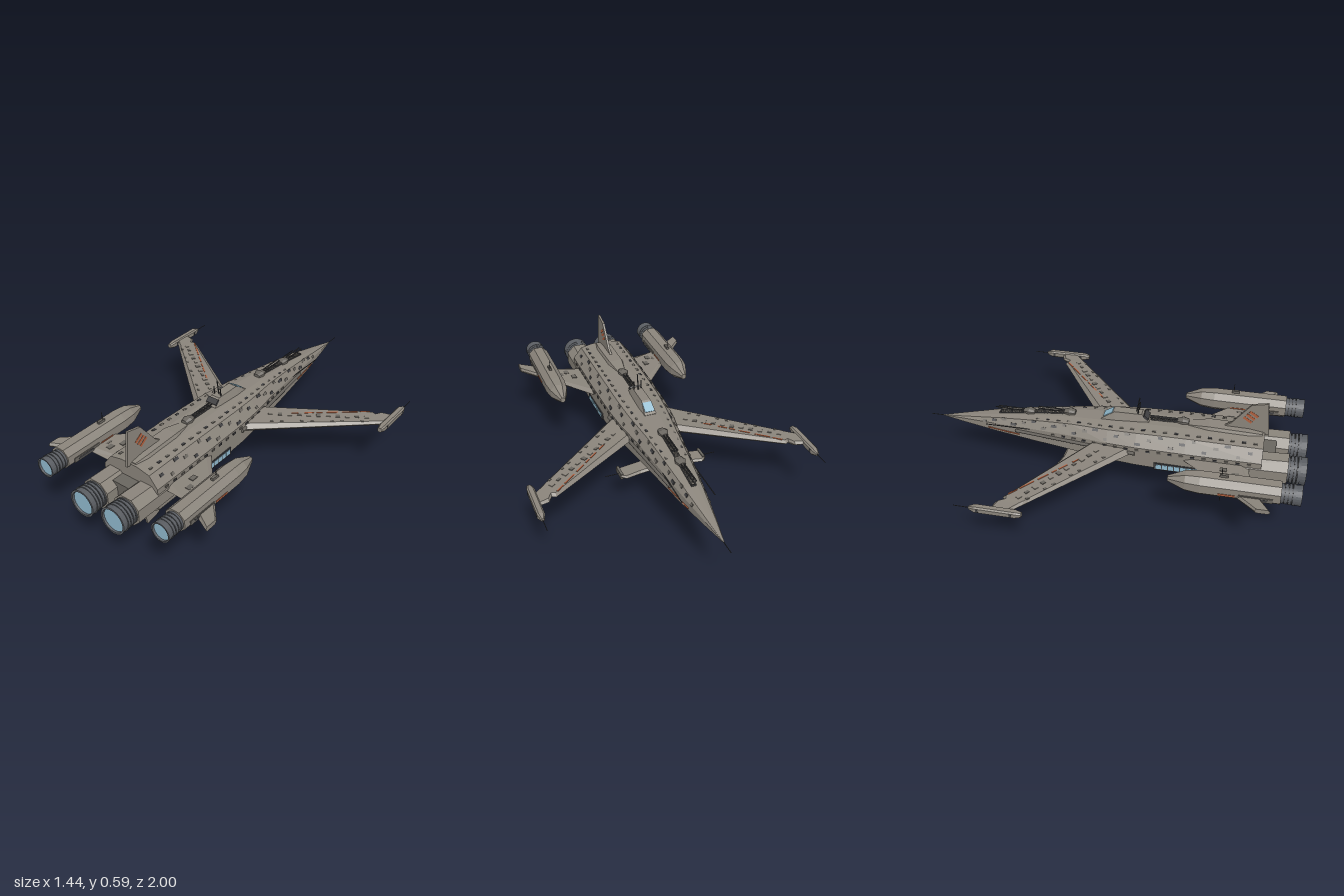
import * as THREE from 'three';

const mat = (name, color) => Object.assign(new THREE.MeshStandardMaterial({ color }), { name });
const V = (x, y, z) => new THREE.Vector3(x, y, z);

// Flat-faced skin through closed loops; loops run counter-clockwise about the stacking axis
function loft(loops) {
  const pos = [], n = loops[0].length;
  const tri = (...p) => p.forEach(v => pos.push(v.x, v.y, v.z));
  for (let i = 0; i < loops.length - 1; i++) for (let j = 0; j < n; j++) {
    const k = (j + 1) % n, a = loops[i][j], b = loops[i][k], c = loops[i + 1][k], d = loops[i + 1][j];
    tri(a, b, c); tri(a, c, d);
  }
  const first = loops[0], last = loops[loops.length - 1];
  for (let j = 1; j < n - 1; j++) { tri(first[0], first[j + 1], first[j]); tri(last[0], last[j], last[j + 1]); }
  const g = new THREE.BufferGeometry();
  g.setAttribute('position', new THREE.Float32BufferAttribute(pos, 3));
  g.computeVertexNormals();
  return g;
}

// Reflection in x with the triangle order put right
function mirror(geo) {
  const g = geo.index ? geo.toNonIndexed() : geo.clone();
  g.applyMatrix4(new THREE.Matrix4().makeScale(-1, 1, 1));
  for (const a of Object.values(g.attributes)) {
    const s = a.itemSize, arr = a.array;
    for (let i = 0; i < a.count; i += 3) for (let k = 0; k < s; k++) {
      const p = i * s + k, q = (i + 2) * s + k, t = arr[p];
      arr[p] = arr[q]; arr[q] = t;
    }
  }
  return g;
}

const box = (w, h, d, x, y, z, rx = 0, ry = 0, rz = 0) =>
  new THREE.BoxGeometry(w, h, d).applyMatrix4(new THREE.Matrix4().makeRotationFromEuler(new THREE.Euler(rx, ry, rz))).translate(x, y, z);

const cyl = (r0, r1, len, x, y, z, n = 24) => // r1 is the +z end
  new THREE.CylinderGeometry(r1, r0, len, n).rotateX(Math.PI / 2).translate(x, y, z);

function rod(a, b, r) {
  const d = b.clone().sub(a), g = new THREE.CylinderGeometry(r, r, d.length(), 6);
  g.applyQuaternion(new THREE.Quaternion().setFromUnitVectors(V(0, 1, 0), d.normalize()));
  const m = a.clone().add(b).multiplyScalar(0.5);
  return g.translate(m.x, m.y, m.z);
}

// Eight-sided section with cut corners
const octagon = (x, y, z, w, h, c = 0.45) =>
  [[1, -c], [1, c], [c, 1], [-c, 1], [-1, c], [-1, -c], [-c, -1], [c, -1]].map(([u, v]) => V(x + u * w, y + v * h, z));

// Upright plate drawn in (z, y)
const fin = (pts, t, x = 0) => new THREE.ExtrudeGeometry(new THREE.Shape(pts.map(p => new THREE.Vector2(...p))),
  { depth: t, bevelEnabled: false }).rotateY(-Math.PI / 2).translate(x + t / 2, 0, 0);

// Wing from stations [x, leading z, trailing z, y, half thickness]
const wing = st => loft(st.map(([x, l, r, y, t]) => {
  const c = (r - l) * 0.12;
  return [V(x, y + t, l + c), V(x, y + t, r - c), V(x, y, r), V(x, y - t, r - c), V(x, y - t, l + c), V(x, y, l)];
}));

// Hull stations: z, half width, bottom, lower edge, upper edge, top
const HULL = [
  [-0.93, 0.003, 0.278, 0.279, 0.281, 0.282], [-0.8, 0.027, 0.262, 0.272, 0.295, 0.307],
  [-0.6, 0.06, 0.237, 0.262, 0.312, 0.347], [-0.4, 0.086, 0.212, 0.252, 0.325, 0.376],
  [-0.2, 0.112, 0.19, 0.245, 0.335, 0.398], [0, 0.145, 0.168, 0.24, 0.342, 0.41],
  [0.15, 0.158, 0.158, 0.237, 0.345, 0.418], [0.4, 0.164, 0.15, 0.232, 0.347, 0.424], [0.78, 0.165, 0.15, 0.23, 0.347, 0.42]];
function hullAt(z) {
  let i = 0;
  while (i < HULL.length - 2 && z > HULL[i + 1][0]) i++;
  const a = HULL[i], b = HULL[i + 1], f = (z - a[0]) / (b[0] - a[0]);
  const [, w, bot, lo, hi, top] = a.map((v, k) => v + (b[k] - v) * f);
  return { w, bot, lo, hi, top, sh: hi + 0.8 * (top - hi) };
}

export function createModel() {
  const model = new THREE.Group();
  const hull = mat('hull grey', 0x8a847b), panel = mat('panel grey', 0x69655f), dark = mat('dark metal', 0x3f3f41);
  const nozzle = mat('nozzle steel', 0x5a5d62), glow = mat('pale blue', 0x8fb8cc), orange = mat('faded orange', 0xb0603f);
  const add = (name, geo, m) => {
    const mesh = new THREE.Mesh(geo, m);
    mesh.name = name;
    model.add(mesh);
  };
  const pair = (name, geo, m) => { add(name + 'Left', geo, m); add(name + 'Right', mirror(geo), m); };

  // Fuselage and nose probe
  add('fuselage', loft(HULL.map(([z]) => {
    const { w, bot, lo, hi, top, sh } = hullAt(z);
    const half = [[0.18 * w, bot], [w, lo], [w, hi], [0.72 * w, sh], [0.3 * w, top]];
    return [...half.map(([x, y]) => V(x, y, z)), ...half.reverse().map(([x, y]) => V(-x, y, z))];
  })), hull);
  add('noseProbe', rod(V(0, 0.28, -1), V(0, 0.28, -0.9), 0.002), dark);

  // Raised spine and cockpit
  const ridge = st => loft(st.map(([z, w, y0, y1, k]) => [V(w, y0, z), V(w * k, y1, z), V(-w * k, y1, z), V(-w, y0, z)]));
  add('spine', ridge([[0.4, 0.03, 0.4, 0.426, 0.7], [0.5, 0.052, 0.4, 0.44, 0.7], [0.7, 0.055, 0.4, 0.436, 0.7], [0.77, 0.04, 0.4, 0.425, 0.7]]), hull);
  add('cockpit', ridge([[-0.05, 0.036, 0.39, 0.409, 0.9], [0.02, 0.044, 0.39, 0.455, 0.55], [0.16, 0.044, 0.39, 0.457, 0.55], [0.2, 0.038, 0.39, 0.42, 0.8]]), hull);
  add('cockpitRear', box(0.062, 0.012, 0.03, 0, 0.442, 0.182, 0.72), dark);
  add('windshield', box(0.05, 0.006, 0.055, 0, 0.433, -0.014, -0.581), glow);
  pair('mast', rod(V(0.02, 0.45, 0.14), V(0.02, 0.5, 0.145), 0.003), dark);
  add('tallMast', rod(V(0, 0.45, 0.13), V(0, 0.54, 0.145), 0.003), dark);

  // Ladder-like conduits on the back
  for (const [z0, z1] of [[-0.6, -0.2], [0.21, 0.39]]) {
    const step = 0.02, n = Math.round((z1 - z0) / step);
    const at = (x, z) => V(x, hullAt(z).top + 0.006, z);
    for (let i = 0; i < n; i++) {
      const z = z0 + i * step;
      pair('conduit', rod(at(0.011, z), at(0.011, z + step), 0.004), dark);
      add('conduitRung', box(0.026, 0.008, 0.007, 0, at(0, z).y, z), i % 3 ? panel : dark);
    }
  }

  // Twin-barrel turrets
  for (const z of [-0.44, -0.22, 0.37]) {
    const y = hullAt(z).top;
    add('turret', loft([octagon(0, y + 0.008, z - 0.028, 0.016, 0.01), octagon(0, y + 0.01, z, 0.026, 0.016), octagon(0, y + 0.008, z + 0.03, 0.018, 0.01)]), panel);
    pair('turretBarrel', rod(V(0.008, y + 0.012, z), V(0.008, y + 0.012, z - 0.17), 0.0035), dark);
  }

  // Tail and belly fins
  add('tailFin', fin([[0.8, 0.41], [0.78, 0.595], [0.7, 0.578], [0.61, 0.46], [0.56, 0.425]], 0.012), hull);
  add('bellyFin', fin([[0.46, 0.155], [0.625, 0.02], [0.7, 0.003], [0.73, 0.155]], 0.012), hull);
  for (let i = 0; i < 3; i++) add('tailStripe', box(0.0145, 0.014, 0.05, 0, 0.525 - i * 0.018, 0.715 - i * 0.014, 0.6), orange);

  // Engines: ribbed barrel, lip and glowing disc
  function engine(name, x, y, z0, z1, r) {
    const len = z1 - z0;
    pair(name + 'Barrel', cyl(r * 0.88, r * 0.88, len * 0.8, x, y, z0 + len * 0.4), dark);
    for (let i = 0; i < 4; i++)
      pair(name + 'Rib', cyl(r * (0.92 + i * 0.02), r * (0.95 + i * 0.02), len * 0.14, x, y, z0 + len * (0.1 + i * 0.18)), nozzle);
    const lip = new THREE.LatheGeometry([[r * 0.94, 0], [r, len * 0.3], [r * 0.86, len * 0.3], [r * 0.82, 0]].map(p => new THREE.Vector2(...p)), 24).toNonIndexed();
    lip.computeVertexNormals();
    pair(name + 'Lip', lip.rotateX(Math.PI / 2).translate(x, y, z1 - len * 0.3), nozzle);
    pair(name + 'Glow', new THREE.CircleGeometry(r * 0.85, 24).translate(x, y, z1 - len * 0.1), glow);
  }
  pair('engineHousing', loft([octagon(0.1, 0.28, 0.46, 0.06, 0.03), octagon(0.1, 0.282, 0.55, 0.07, 0.062), octagon(0.095, 0.282, 0.91, 0.073, 0.073)]), hull);
  engine('mainEngine', 0.095, 0.283, 0.9, 1, 0.071);
  add('engineBridge', box(0.1, 0.1, 0.07, 0, 0.29, 0.81), panel);

  // Outer nacelles with aerials and side trim
  pair('nacelle', loft([octagon(0.355, 0.345, 0.345, 0.013, 0.014), octagon(0.355, 0.347, 0.43, 0.046, 0.046), octagon(0.355, 0.347, 0.5, 0.054, 0.052), octagon(0.355, 0.347, 0.88, 0.054, 0.052)]), hull);
  engine('outerEngine', 0.355, 0.345, 0.875, 0.975, 0.051);
  pair('nacelleAerial', rod(V(0.355, 0.245, 0.6), V(0.355, 0.45, 0.6), 0.002), dark);
  pair('nacelleBlister', box(0.014, 0.02, 0.04, 0.355, 0.402, 0.61), panel);
  for (const s of [-1, 1]) {
    pair('nacellePanel', box(0.008, 0.024, 0.16, 0.355 + s * 0.054, 0.333, 0.765), panel);
    pair('nacelleVent', box(0.01, 0.01, 0.1, 0.355 + s * 0.054, 0.333, 0.77), dark);
    pair('nacelleStripe', box(0.004, 0.009, 0.08, 0.355 + s * 0.0545, 0.333, 0.63), orange);
  }

  // Rear wings
  pair('rearWing', wing([[0.13, 0.36, 0.72, 0.305, 0.016], [0.3, 0.555, 0.735, 0.318, 0.014], [0.488, 0.765, 0.838, 0.332, 0.012]]), hull);
  for (const [x, z] of [[0.22, 0.6], [0.25, 0.66], [0.285, 0.64]]) pair('rearWingPanel', box(0.025, 0.006, 0.035, x, 0.328, z), panel);

  // Forward-swept wings with tip pods
  pair('frontWing', wing([[0.09, -0.07, 0.19, 0.305, 0.024], [0.6, -0.4, -0.26, 0.305, 0.013], [0.62, -0.39, -0.278, 0.305, 0.013],
    [0.64, -0.425, -0.296, 0.305, 0.012], [0.69, -0.435, -0.34, 0.305, 0.011]]), hull);
  const wingTop = x => 0.329 - (x - 0.09) * 0.0216;
  for (let i = 0; i < 11; i++) {
    const x = 0.2 + i * 0.04;
    pair('wingBlock', box(0.022, 0.007, 0.014 + (i % 3) * 0.006, x, wingTop(x), -0.06 - (x - 0.2) * 0.71 + 0.022, 0, 0.62), i % 2 ? panel : hull);
    if (i % 3) pair('wingPlate', box(0.016, 0.005, 0.012, x, wingTop(x), 0.04 - (x - 0.2) * 0.8, 0, 0.7), panel);
  }
  for (const [x, l] of [[0.57, 0.05], [0.51, 0.08], [0.44, 0.06], [0.39, 0.03], [0.35, 0.05], [0.29, 0.045]])
    pair('wingStripe', box(l, 0.005, 0.007, x, wingTop(x), -0.36 + (0.57 - x) * 0.86, 0, 0.7), orange);
  pair('tipPod', loft([octagon(0.7, 0.304, -0.535, 0.008, 0.008), octagon(0.7, 0.304, -0.505, 0.018, 0.018, 0.6), octagon(0.7, 0.304, -0.31, 0.018, 0.018, 0.6), octagon(0.7, 0.304, -0.28, 0.012, 0.012)]), hull);
  for (const z of [-0.49, -0.33]) pair('podBand', box(0.038, 0.02, 0.012, 0.7, 0.304, z), dark);
  pair('podAerial', rod(V(0.7, 0.304, -0.61), V(0.7, 0.304, -0.52), 0.002), dark);

  // Low canards with aerials
  pair('canard', wing([[0.03, -0.23, -0.13, 0.2, 0.012], [0.12, -0.235, -0.14, 0.196, 0.011], [0.205, -0.255, -0.155, 0.2, 0.009], [0.228, -0.235, -0.16, 0.201, 0.008]]), hull);
  pair('canardTip', box(0.014, 0.03, 0.075, 0.222, 0.199, -0.195), panel);
  pair('canardAerial', rod(V(0.22, 0.195, -0.195), V(0.3, 0.195, -0.195), 0.002), dark);

  // Flank guns, rails and nose stripe
  const flank = (z, y, out = 0.003) => V(hullAt(z).w + out, y, z);
  pair('flankRail', rod(flank(-0.5, 0.295), flank(-0.2, 0.3), 0.009), panel);
  pair('flankRailRear', rod(flank(-0.2, 0.3), flank(0.15, 0.31), 0.01), panel);
  pair('flankGun', rod(V(0.082, 0.318, -0.66), V(0.082, 0.318, -0.42), 0.0025), dark);
  pair('noseStripe', rod(flank(-0.66, 0.276, 0), flank(-0.48, 0.272, 0), 0.004), orange);

  // Glazed bay on each side
  pair('bayFrame', box(0.006, 0.04, 0.24, 0.164, 0.25, 0.37), dark);
  for (let i = 0; i < 7; i++) pair('bayWindow', box(0.009, 0.026, 0.026, 0.1645, 0.25, 0.275 + i * 0.031), glow);

  // Small fittings along the shoulders and flanks
  for (let i = 0; i < 26; i++) {
    const z = -0.68 + i * 0.056, h = hullAt(z), f = [0.25, 0.6, 0.85][i % 3];
    const tilt = Math.atan2(h.sh - h.hi, -0.28 * h.w);
    pair('shoulderFitting', box(0.014, 0.007, 0.018 + (i % 4) * 0.004, h.w * (1 - 0.28 * f), h.hi + (h.sh - h.hi) * f, z, 0, 0, tilt), i % 2 ? dark : panel);
    if (i > 4) pair('deckFitting', box(0.012, 0.006, 0.02, h.w * 0.56, h.sh + (h.top - h.sh) * 0.38, z + 0.02), i % 3 ? panel : dark);
    if (i > 6) pair('flankFitting', box(0.008, 0.01, 0.02, h.w, h.hi - 0.014, z), i % 2 ? panel : dark);
  }
  return model;
}
